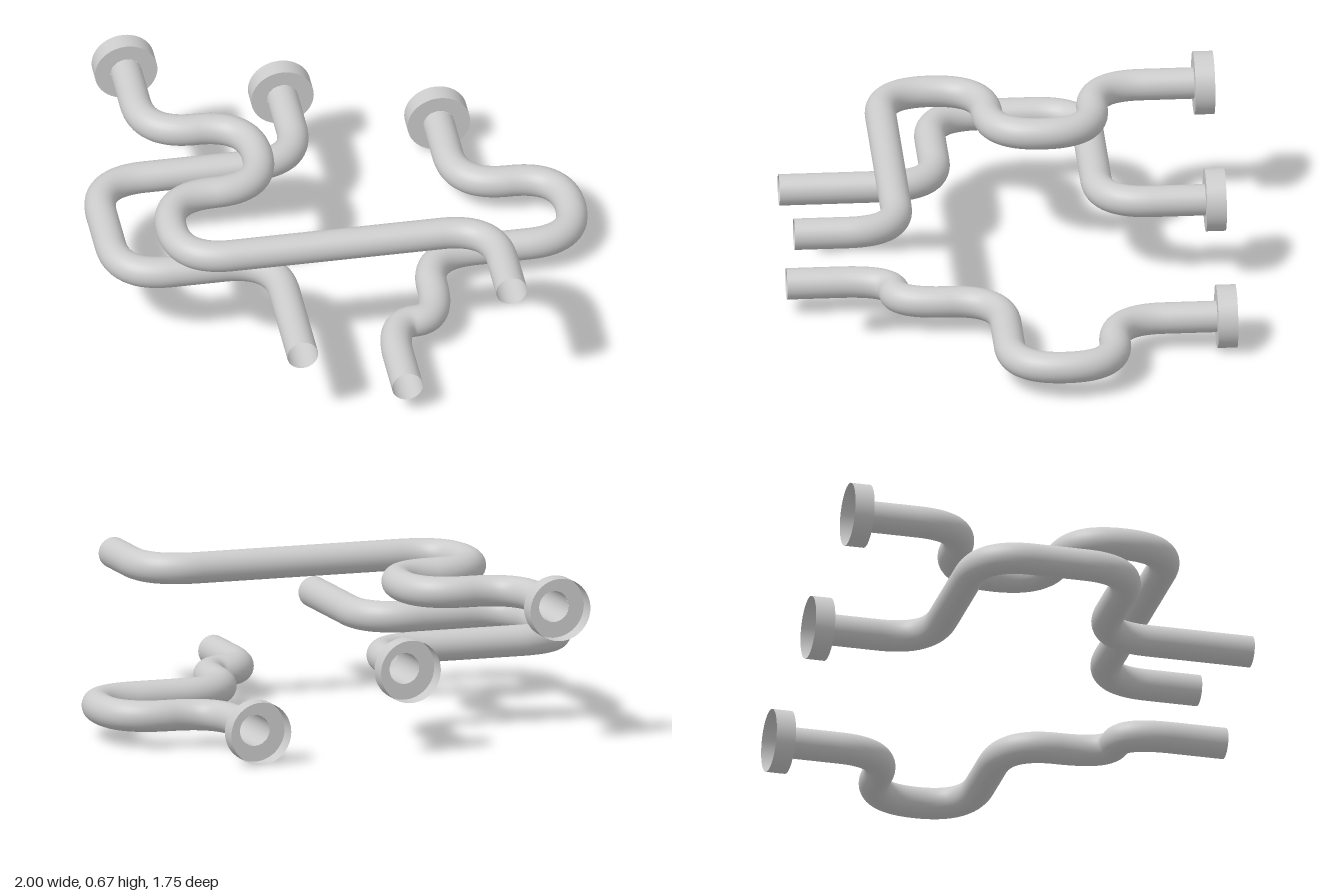
import * as THREE from 'three';

const PIPE_R = 0.062, FLANGE_R = 0.125;
const BACK = -0.873, FLOOR = -0.795, FRONT = 0.873;
const BEND = 0.208;

const material = new THREE.MeshStandardMaterial({ color: 0xcccccc, side: THREE.DoubleSide });

// Path through [x, z] corners at height y, each corner rounded by a quadratic curve
function roundedPath(corners, y) {
  const pts = corners.map(([x, z]) => new THREE.Vector3(x, y, z));
  const path = new THREE.CurvePath();
  const line = (a, b) => {
    if (a.distanceTo(b) > 0.005) path.add(new THREE.LineCurve3(a, b));
  };
  const toward = (from, to) => {
    const d = Math.min(BEND, from.distanceTo(to) / 2);
    return from.clone().add(to.clone().sub(from).setLength(d));
  };
  let last = pts[0];
  for (let i = 1; i < pts.length - 1; i++) {
    const a = toward(pts[i], pts[i - 1]);
    const b = toward(pts[i], pts[i + 1]);
    line(last, a);
    path.add(new THREE.QuadraticBezierCurve3(a, pts[i], b));
    last = b;
  }
  line(last, pts[pts.length - 1]);
  return path;
}

function part(name, geometry) {
  const mesh = new THREE.Mesh(geometry, material);
  mesh.name = name;
  return mesh;
}

// Thin cup, open to the back, with a hole in its floor for the pipe
function makeFlange(x, y) {
  const flange = new THREE.Group();
  flange.name = 'flange';
  const wall = new THREE.CylinderGeometry(FLANGE_R, FLANGE_R, FLOOR - BACK, 48, 1, true);
  wall.rotateX(Math.PI / 2).translate(0, 0, (FLOOR + BACK) / 2);
  const floor = new THREE.RingGeometry(PIPE_R, FLANGE_R, 48).translate(0, 0, FLOOR);
  flange.add(part('flangeWall', wall), part('flangeFloor', floor));
  flange.position.set(x, y, 0);
  return flange;
}

export function createModel() {
  const model = new THREE.Group();
  model.name = 'pipes';

  // Each pipe runs from its flange at the back to an open end at the front
  const pipes = [
    { name: 'upperPipe', y: 0.545, corners: [
      [-0.73, FLOOR], [-0.73, -0.38], [-0.315, -0.38], [-0.315, 0.037],
      [-0.73, 0.037], [-0.73, 0.455], [0.52, 0.455], [0.52, FRONT]] },
    { name: 'middlePipe', y: 0.336, corners: [
      [-0.105, FLOOR], [-0.105, -0.38], [-0.938, -0.38], [-0.938, 0.245],
      [-0.315, 0.245], [-0.315, FRONT]] },
    { name: 'lowerPipe', y: 0.127, corners: [
      [0.52, FLOOR], [0.52, -0.38], [0.938, -0.38], [0.938, 0.037],
      [0.312, 0.037], [0.312, 0.455], [0.104, 0.455], [0.104, FRONT]] },
  ];

  for (const { name, y, corners } of pipes) {
    const group = new THREE.Group();
    group.name = name;
    const tube = new THREE.TubeGeometry(roundedPath(corners, y), 180, PIPE_R, 28, false);
    group.add(part('tube', tube), makeFlange(corners[0][0], y));
    model.add(group);
  }
  return model;
}
